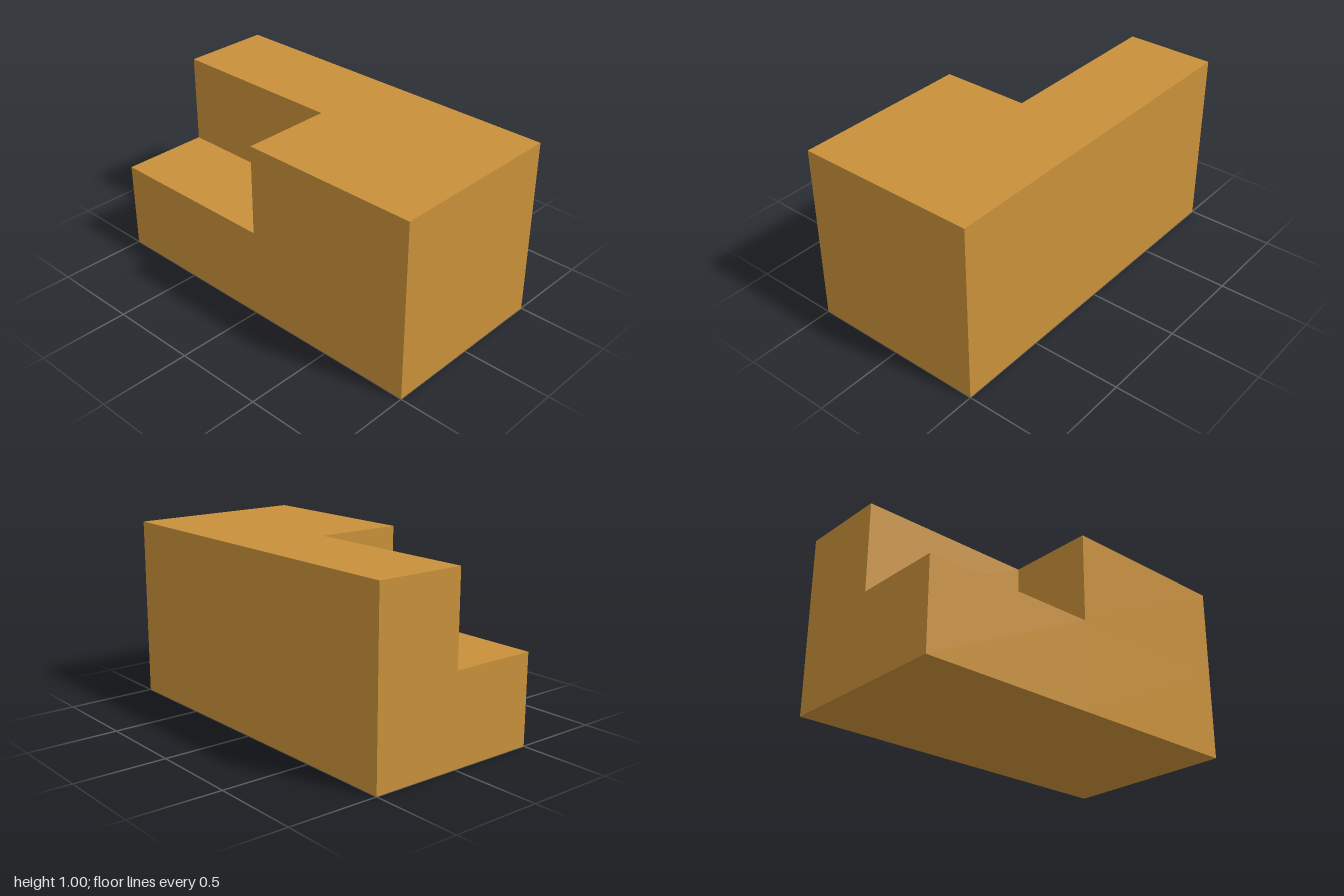
import * as THREE from 'three';

const SIZE = new THREE.Vector3(1, 1, 2);

// Block split in halves on every axis; the faces of one octant are pushed
// inward by half the block, leaving a clean closed corner notch.
function notchedBlock() {
  const geometry = new THREE.BoxGeometry(SIZE.x, SIZE.y, SIZE.z, 2, 2, 2).toNonIndexed();
  const position = geometry.attributes.position;
  const normal = geometry.attributes.normal;
  const v = new THREE.Vector3();
  const n = new THREE.Vector3();
  const centre = new THREE.Vector3();

  for (let i = 0; i < position.count; i += 3) {
    centre.set(0, 0, 0);
    for (let k = 0; k < 3; k++) centre.add(v.fromBufferAttribute(position, i + k));
    // upper, rear, right-hand octant
    if (centre.x < 0 && centre.y > 0 && centre.z < 0) {
      n.fromBufferAttribute(normal, i).multiply(SIZE).multiplyScalar(0.5);
      for (let k = 0; k < 3; k++) {
        v.fromBufferAttribute(position, i + k).sub(n);
        position.setXYZ(i + k, v.x, v.y, v.z);
      }
    }
  }
  return geometry.translate(0, SIZE.y / 2, 0);
}

export function createModel() {
  const ochre = new THREE.MeshStandardMaterial({ color: 0xc8903a });
  ochre.name = 'ochre';

  const block = new THREE.Mesh(notchedBlock(), ochre);
  block.name = 'notchedBlock';

  const model = new THREE.Group();
  model.name = 'cornerNotchBlock';
  model.add(block);
  return model;
}
